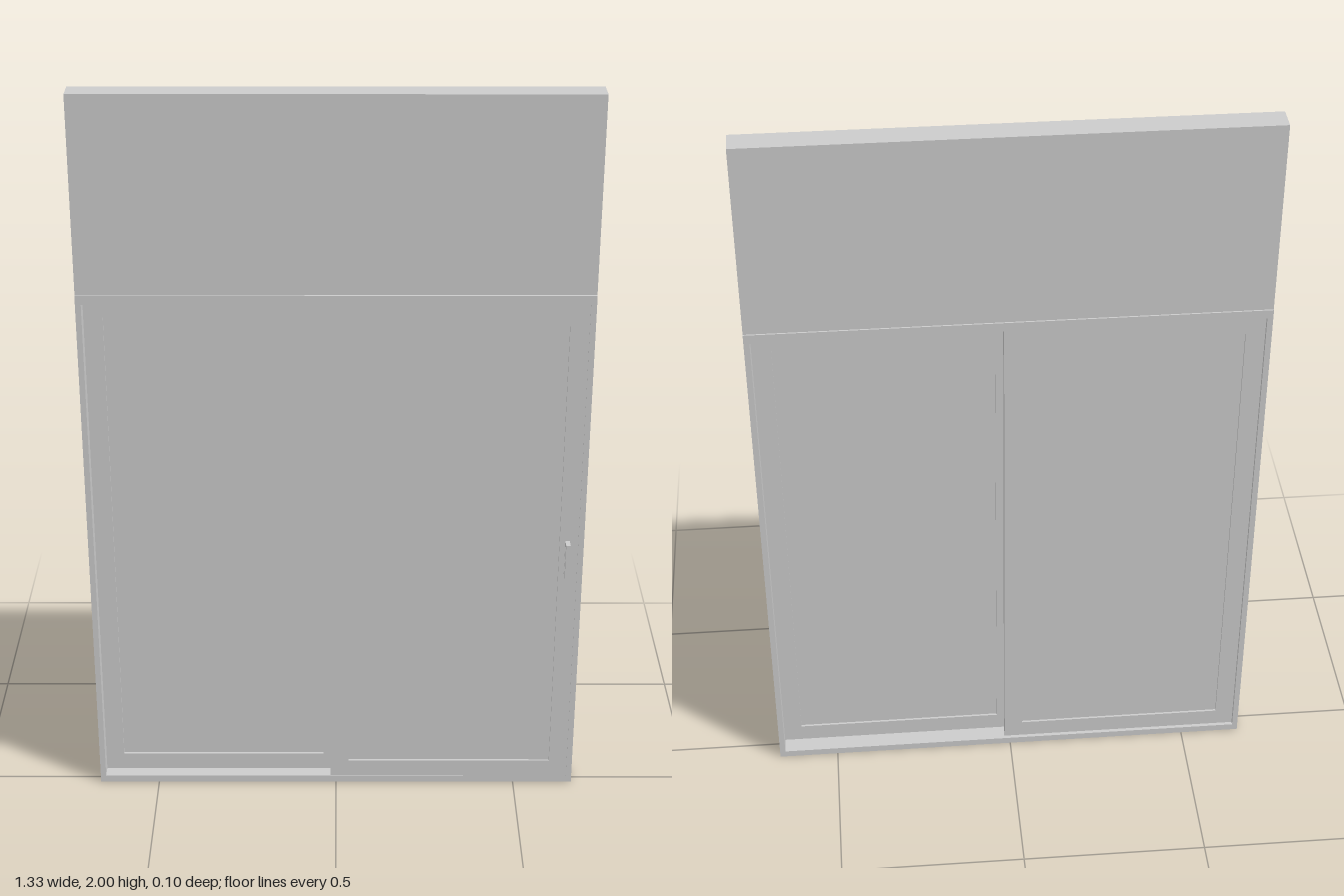
import * as THREE from 'three';

const material = new THREE.MeshStandardMaterial({ color: 0xcccccc });

function addMesh(parent, name, geometry) {
  const mesh = new THREE.Mesh(geometry, material);
  mesh.name = name;
  parent.add(mesh);
  return mesh;
}

// Box given by its limits on each axis
function addBox(parent, name, [x0, x1], [y0, y1], [z0, z1]) {
  const mesh = addMesh(parent, name, new THREE.BoxGeometry(x1 - x0, y1 - y0, z1 - z0));
  mesh.position.set((x0 + x1) / 2, (y0 + y1) / 2, (z0 + z1) / 2);
  return mesh;
}

function rectangle(PathType, [x0, x1], [y0, y1]) {
  return new PathType([[x0, y0], [x1, y0], [x1, y1], [x0, y1]].map(([x, y]) => new THREE.Vector2(x, y)));
}

// Rectangular surround with a rectangular opening
function addSurround(parent, name, outerX, outerY, innerX, innerY, [z0, z1]) {
  const shape = rectangle(THREE.Shape, outerX, outerY);
  shape.holes.push(rectangle(THREE.Path, innerX, innerY));
  const geometry = new THREE.ExtrudeGeometry(shape, { depth: z1 - z0, bevelEnabled: false });
  addMesh(parent, name, geometry).position.z = z0;
}

// Sliding leaf: surround plus a pane set back from both faces
function addLeaf(parent, name, [x0, x1], [z0, z1]) {
  const leaf = new THREE.Group();
  leaf.name = name;
  const border = 0.05, inset = 0.006;
  const innerX = [x0 + border, x1 - border], innerY = [0.07, 1.4];
  addSurround(leaf, 'leafSurround', [x0, x1], [0.02, 1.45], innerX, innerY, [z0, z1]);
  addBox(leaf, 'pane', innerX, innerY, [z0 + inset, z1 - inset]);
  parent.add(leaf);
}

export function createModel() {
  const model = new THREE.Group();
  model.name = 'slidingDoor';

  // Fixed outer frame and the panel above it
  addSurround(model, 'outerFrame', [-0.665, 0.665], [0, 1.475], [-0.65, 0.65], [0.02, 1.45], [-0.052, 0.024]);
  addBox(model, 'upperPanel', [-0.665, 0.665], [1.475, 2], [-0.048, 0.019]);

  // Two leaves on separate tracks, overlapping at the middle
  addLeaf(model, 'frontLeaf', [-0.015, 0.65], [-0.005, 0.022]);
  addLeaf(model, 'rearLeaf', [-0.65, 0.015], [-0.042, -0.013]);

  // Handle: backplate, arm and hanging grip
  const handle = new THREE.Group();
  handle.name = 'handle';
  addBox(handle, 'backplate', [0.615, 0.627], [0.67, 0.77], [0.022, 0.026]);
  addBox(handle, 'arm', [0.615, 0.627], [0.76, 0.77], [0.024, 0.044]);
  addBox(handle, 'grip', [0.615, 0.627], [0.67, 0.77], [0.043, 0.052]);
  model.add(handle);

  return model;
}
